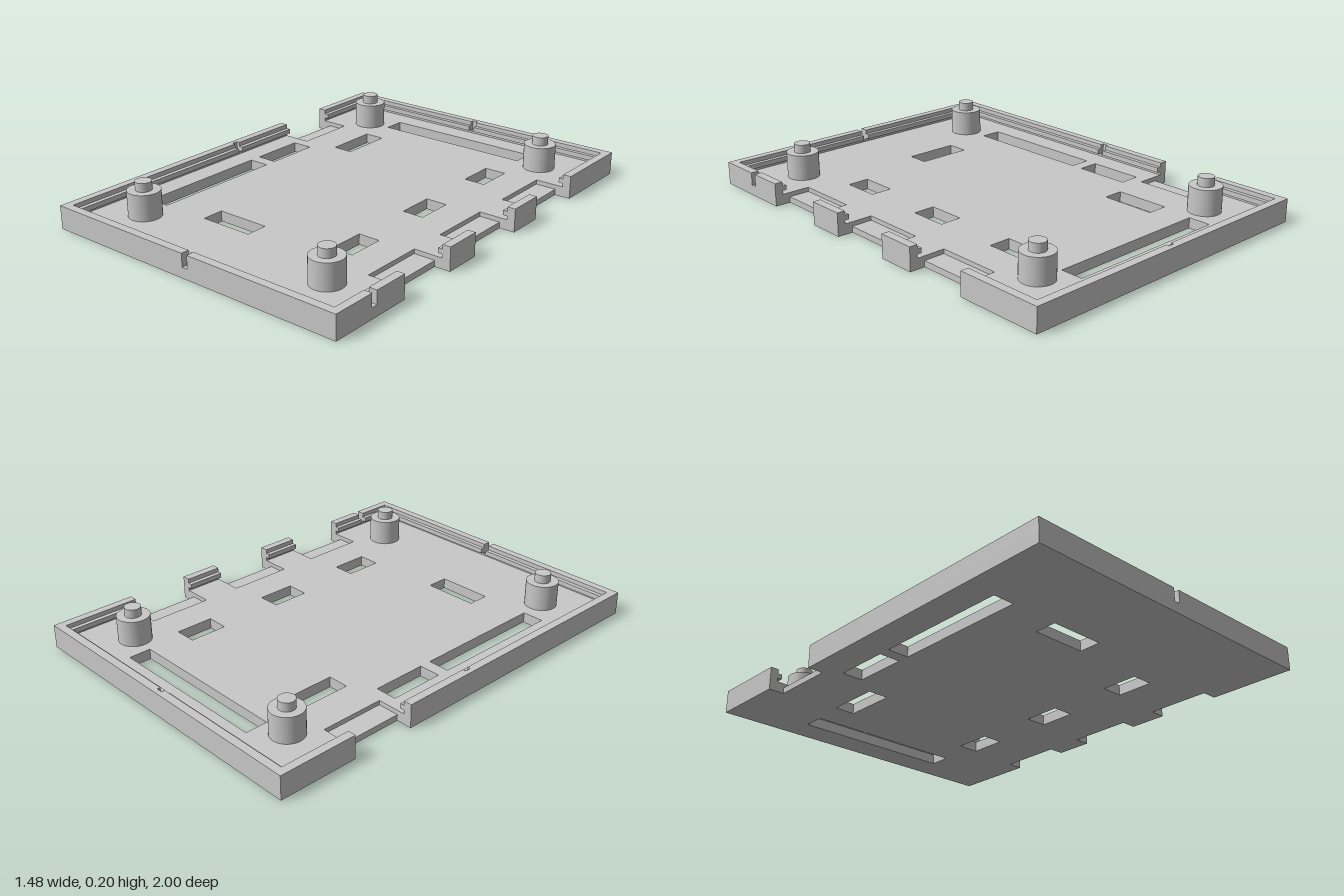
import * as THREE from 'three';

const W = 0.738, D = 1;                       // half width, half depth
const RECESS_Y = 0.027, FLOOR_Y = 0.047, RIM_Y = 0.105;
const WALL = 0.037, BEAD = 0.02, SKIN = 0.022, N = 0.014; // N = half notch width

const rightCuts = [[-0.61, -0.32], [-0.147, 0.147], [0.32, 0.61]];
const leftCuts = [[-0.642, -0.35]];
// floor slots: x0, x1, z0, z1
const slots = [
  [-0.385, 0.375, -0.866, -0.766], [-0.405, -0.31, -0.617, -0.37],
  [0.315, 0.415, -0.59, -0.417], [0.315, 0.415, -0.122, 0.05], [0.315, 0.415, 0.345, 0.515],
  [-0.6, -0.503, -0.295, -0.043], [-0.6, -0.503, 0.012, 0.63], [-0.28, -0.03, 0.528, 0.627],
];

// Remaining stretches of a run once the gaps are removed
function spans(a, b, gaps) {
  const out = [];
  for (const [g0, g1] of [...gaps].sort((p, q) => p[0] - q[0])) {
    out.push([a, g0]);
    a = g1;
  }
  out.push([a, b]);
  return out;
}

// Floor layer with side cutouts reaching in to x = cutX
function floorLayer(y0, y1, cutX) {
  const pts = [[-W, -D], [W, -D]];
  for (const [a, b] of rightCuts) pts.push([W, a], [cutX, a], [cutX, b], [W, b]);
  pts.push([W, D], [-W, D]);
  for (const [a, b] of leftCuts) pts.push([-W, b], [-cutX, b], [-cutX, a], [-W, a]);
  const toV = ([x, z]) => new THREE.Vector2(x, -z);
  // outline runs counter-clockwise, holes clockwise
  const shape = new THREE.Shape(pts.reverse().map(toV));
  for (const [x0, x1, z0, z1] of slots) {
    shape.holes.push(new THREE.Path([[x0, z0], [x1, z0], [x1, z1], [x0, z1]].map(toV)));
  }
  const geo = new THREE.ExtrudeGeometry(shape, { depth: y1 - y0, bevelEnabled: false });
  geo.rotateX(-Math.PI / 2);
  geo.translate(0, y0, 0);
  return geo;
}

export function createModel() {
  const group = new THREE.Group();
  const grey = new THREE.MeshStandardMaterial({ color: 0xc8c8c8 });
  grey.name = 'plain grey';

  function add(name, geo, parent = group) {
    const mesh = new THREE.Mesh(geo, grey);
    mesh.name = name;
    parent.add(mesh);
    return mesh;
  }
  function box(name, x0, x1, y0, y1, z0, z1, parent) {
    add(name, new THREE.BoxGeometry(x1 - x0, y1 - y0, z1 - z0), parent)
      .position.set((x0 + x1) / 2, (y0 + y1) / 2, (z0 + z1) / 2);
  }

  // Floor: lower plate, and upper plate set back to leave recesses at the cutouts
  add('lowerFloor', floorLayer(0, RECESS_Y, 0.667));
  add('upperFloor', floorLayer(RECESS_Y, FLOOR_Y, 0.57));

  // A strip along one side, at a given distance in from the outer face
  function strip(name, side, a, b, in0, in1, y0, y1, parent) {
    if (side === 'front') box(name, a, b, y0, y1, D - in1, D - in0, parent);
    if (side === 'back') box(name, a, b, y0, y1, -D + in0, -D + in1, parent);
    if (side === 'right') box(name, W - in1, W - in0, y0, y1, a, b, parent);
    if (side === 'left') box(name, -W + in0, -W + in1, y0, y1, a, b, parent);
  }

  // Rim walls with snap bead on the inside and a small notch on each side
  const sides = [
    { side: 'front', end: W, notch: 0, cuts: [], through: true },
    { side: 'back', end: W, notch: 0, cuts: [], through: false },
    { side: 'right', end: D - WALL, notch: 0.788, cuts: rightCuts, through: true },
    { side: 'left', end: D - WALL, notch: 0, cuts: leftCuts, through: false },
  ];
  for (const { side, end, notch, cuts, through } of sides) {
    const wall = new THREE.Group();
    wall.name = side + 'Wall';
    group.add(wall);
    const gaps = [...cuts, [notch - N, notch + N]];
    const beadEnd = (end === W ? W : D) - WALL;
    for (const [a, b] of spans(-end, end, gaps)) {
      strip('wallSection', side, a, b, 0, WALL, FLOOR_Y, RIM_Y, wall);
    }
    for (const [a, b] of spans(-beadEnd, beadEnd, gaps)) {
      strip('snapBead', side, a, b, WALL, WALL + BEAD, 0.063, 0.085, wall);
    }
    // Low sill inside the notch, and a thin outer skin where it is blind
    strip('notchSill', side, notch - N, notch + N, SKIN, WALL, FLOOR_Y, 0.056, wall);
    if (!through) strip('notchSkin', side, notch - N, notch + N, 0, SKIN, FLOOR_Y, RIM_Y, wall);
  }

  // Four standoffs with locating pins
  for (const x of [-0.495, 0.494]) {
    for (const z of [-0.757, 0.756]) {
      const post = new THREE.Group();
      post.name = 'standoff';
      post.position.set(x, 0, z);
      group.add(post);
      add('boss', new THREE.CylinderGeometry(0.072, 0.072, 0.163 - FLOOR_Y, 40), post)
        .position.y = (0.163 + FLOOR_Y) / 2;
      add('pin', new THREE.CylinderGeometry(0.036, 0.036, 0.039, 32), post).position.y = 0.1825;
    }
  }
  return group;
}
